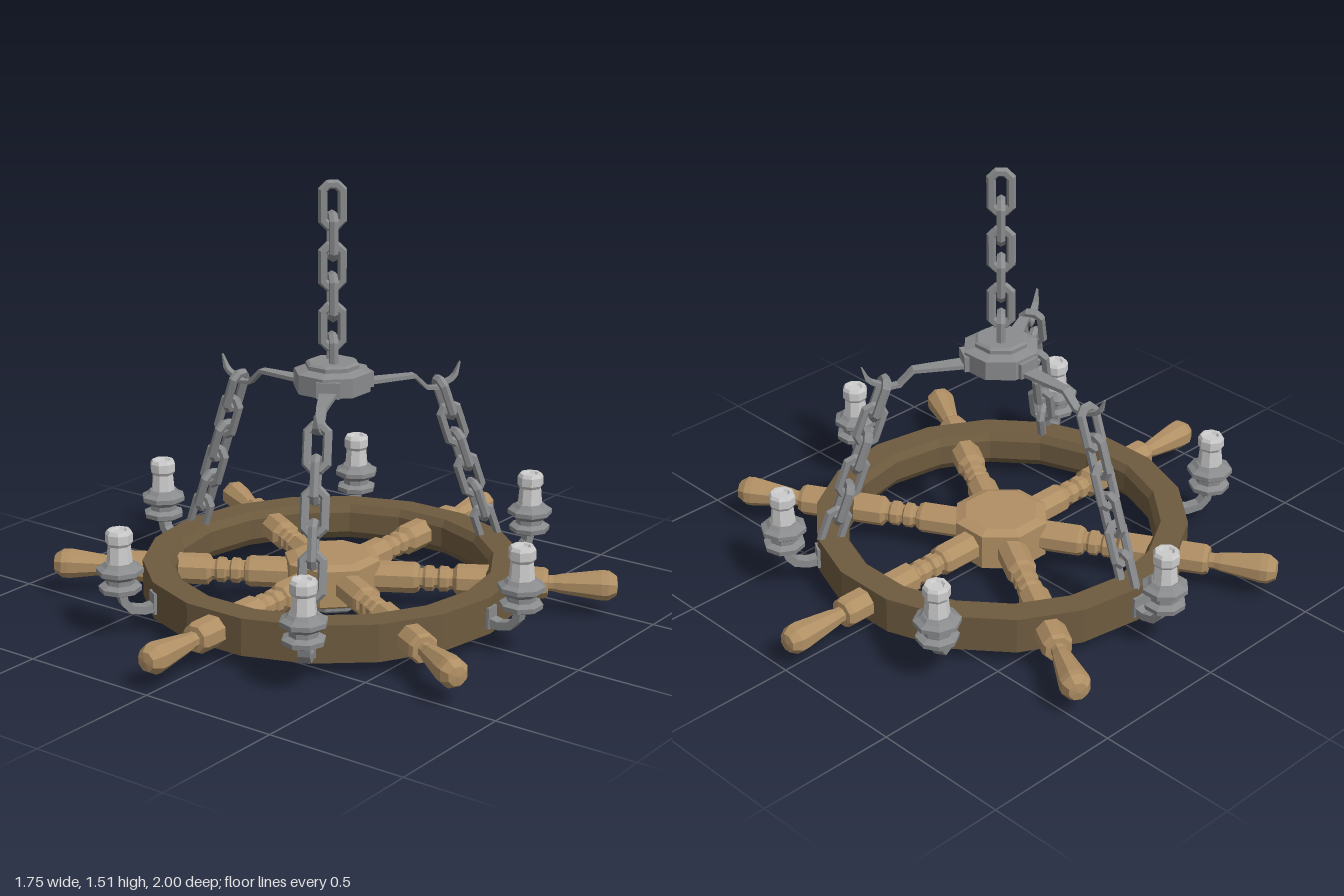
import * as THREE from 'three';

const mat = (color) => new THREE.MeshStandardMaterial({ color, flatShading: true });
const metal = mat(0x8a8b8d), rimWood = mat(0x6e5b3f), wood = mat(0xb08f64), wax = mat(0xcccccc);
const SIXTH = Math.PI / 3;

function add(parent, name, geometry, material) {
  const mesh = new THREE.Mesh(geometry, material);
  mesh.name = name;
  parent.add(mesh);
  return mesh;
}

// Group turned about the vertical axis; its +x points outward
function spoke(parent, name, angle) {
  const g = new THREE.Group();
  g.name = name;
  g.rotation.y = angle;
  parent.add(g);
  return g;
}

// Faceted turned shape from [radius, height] pairs, listed upward
function turned(profile, sides = 8) {
  const pts = profile.map(([r, y]) => new THREE.Vector2(r, y));
  return new THREE.LatheGeometry(pts, sides).rotateY(Math.PI / sides);
}

// Bent bar along [x, y, halfWidth, halfThickness] stations
function bar(stations) {
  const n = stations.length - 1;
  const geo = new THREE.BoxGeometry(1, 1, 1, n, 1, 1);
  const p = geo.attributes.position;
  for (let i = 0; i < p.count; i++) {
    const k = Math.round((p.getX(i) + 0.5) * n);
    const [x, y, w, t] = stations[k];
    const a = stations[Math.max(k - 1, 0)], b = stations[Math.min(k + 1, n)];
    const len = Math.hypot(b[0] - a[0], b[1] - a[1]);
    const s = Math.sign(p.getY(i)) * t / len;
    p.setXYZ(i, x - (b[1] - a[1]) * s, y + (b[0] - a[0]) * s, Math.sign(p.getZ(i)) * w);
  }
  geo.computeVertexNormals();
  return geo;
}

// Chain link: an eight-segment ring pulled apart along y
const PITCH = 0.105, WIRE = 0.017, STRETCH = 0.0375;
function linkGeometry() {
  const geo = new THREE.TorusGeometry(0.036, WIRE, 6, 8).rotateZ(Math.PI / 8);
  const p = geo.attributes.position;
  for (let i = 0; i < p.count; i++) p.setY(i, p.getY(i) + Math.sign(p.getY(i)) * STRETCH);
  geo.computeVertexNormals();
  return geo;
}

// Chain hanging down from its own origin
function chain(name, count, twist) {
  const g = new THREE.Group();
  g.name = name;
  const geo = linkGeometry();
  for (let i = 0; i < count; i++) {
    const link = add(g, 'chainLink', geo, metal);
    link.position.y = -0.0865 - i * PITCH;
    link.rotation.y = twist + (i % 2) * Math.PI / 2;
  }
  return g;
}

export function createModel() {
  const model = new THREE.Group();
  model.name = 'wheelChandelier';
  model.position.x = -0.006;

  // Wheel rim
  const rim = turned([
    [0.664, 0.047], [0.664, 0.178], [0.568, 0.178], [0.55, 0.15],
    [0.55, 0.075], [0.568, 0.047], [0.664, 0.047],
  ], 18);
  rim.rotateY(Math.PI / 2 - Math.PI / 18);
  add(model, 'rim', rim, rimWood);

  // Hub and its metal cap underneath
  add(model, 'hub', turned([
    [0, 0.03], [0.14, 0.03], [0.172, 0.047], [0.172, 0.176], [0.135, 0.19], [0, 0.19],
  ]), wood);
  add(model, 'hubCap', turned([[0, 0], [0.1, 0], [0.108, 0.008], [0.108, 0.04]]), metal);

  // Turned spokes with grips
  const spokeGeo = turned([
    [0.055, 0.1], [0.055, 0.29], [0.048, 0.305], [0.036, 0.31], [0.036, 0.32],
    [0.045, 0.33], [0.045, 0.355], [0.034, 0.362], [0.034, 0.372], [0.045, 0.38],
    [0.045, 0.405], [0.036, 0.415], [0.036, 0.425], [0.055, 0.44], [0.055, 0.74],
    [0.047, 0.755], [0.028, 0.757], [0.028, 0.775], [0.034, 0.8], [0.053, 0.94],
    [0.052, 0.965], [0.034, 0.993], [0, 0.998],
  ]).rotateZ(-Math.PI / 2);
  for (let i = 0; i < 6; i++) {
    const g = spoke(model, 'spoke', SIXTH * (i + 0.5));
    add(g, 'spokeAndGrip', spokeGeo, wood).position.y = 0.11;
  }

  // Candle holders between the spokes
  const bracketGeo = bar([
    [0.645, 0.095, 0.02, 0.016], [0.7, 0.087, 0.02, 0.014], [0.745, 0.097, 0.02, 0.014],
    [0.77, 0.125, 0.02, 0.014], [0.78, 0.17, 0.02, 0.014],
  ]);
  const cupGeo = turned([
    [0, 0.155], [0.04, 0.155], [0.072, 0.168], [0.074, 0.185], [0.05, 0.195],
    [0.05, 0.212], [0.066, 0.222], [0.081, 0.232], [0.081, 0.248],
    [0.062, 0.258], [0.05, 0.27], [0, 0.27],
  ]);
  const candleGeo = turned([
    [0.045, 0.262], [0.039, 0.33], [0.047, 0.342], [0.047, 0.372], [0.04, 0.384],
    [0.028, 0.384], [0.022, 0.376], [0, 0.376],
  ]);
  const plateGeo = new THREE.BoxGeometry(0.02, 0.075, 0.05).translate(0.66, 0.107, 0);
  for (let i = 0; i < 6; i++) {
    const g = spoke(model, 'candleHolder', SIXTH * i);
    add(g, 'rimPlate', plateGeo, metal);
    add(g, 'candleBracket', bracketGeo, metal);
    add(g, 'candleCup', cupGeo, metal).position.x = 0.78;
    add(g, 'candle', candleGeo, wax).position.x = 0.78;
  }

  // Ceiling fitting
  add(model, 'topFitting', turned([
    [0, 0.787], [0.135, 0.787], [0.135, 0.855], [0.095, 0.866], [0.095, 0.88],
    [0.085, 0.887], [0, 0.887],
  ]), metal);

  // Three hooked arms, each carrying a slanting chain
  const armGeo = bar([
    [0.08, 0.802, 0.034, 0.007], [0.31, 0.802, 0.018, 0.007], [0.36, 0.752, 0.015, 0.007],
    [0.395, 0.748, 0.014, 0.007], [0.455, 0.775, 0.012, 0.007], [0.47, 0.79, 0.01, 0.007],
    [0.487, 0.835, 0.003, 0.002],
  ]);
  const socketGeo = new THREE.BoxGeometry(0.06, 0.056, 0.08).translate(0.108, 0.817, 0);
  for (const angle of [Math.PI, SIXTH, -SIXTH]) {
    const g = spoke(model, 'hangingArm', angle);
    add(g, 'armSocket', socketGeo, metal);
    add(g, 'hookArm', armGeo, metal);
    const c = chain('sideChain', 6, Math.PI / 2);
    c.position.set(0.4, 0.79, 0);
    c.rotation.z = Math.atan2(0.23, 0.66);
    g.add(c);
  }

  // Main chain
  const mainChain = chain('mainChain', 6, Math.PI / 4);
  mainChain.position.y = 1.515;
  model.add(mainChain);

  return model;
}
